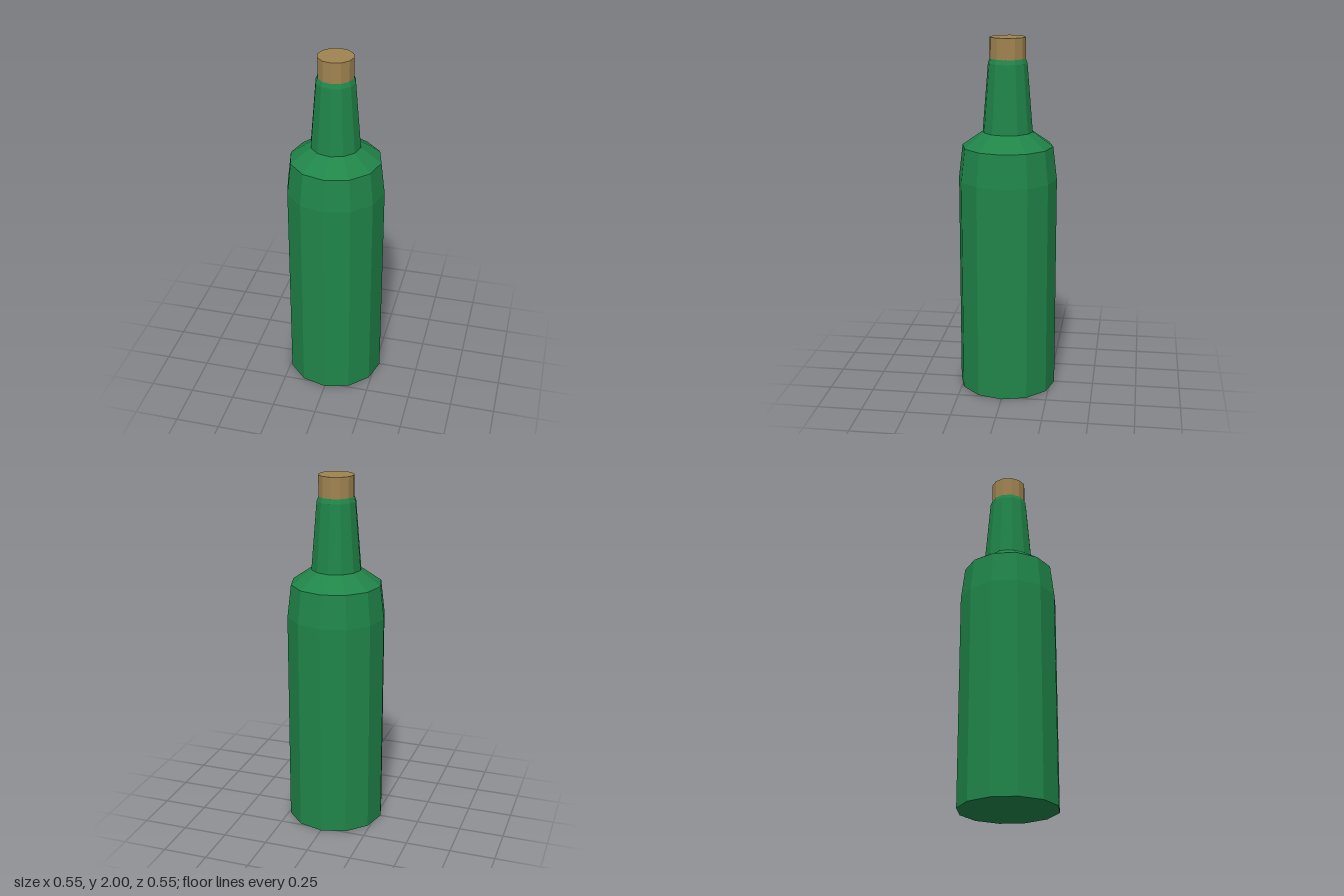
import * as THREE from 'three';

const SIDES = 12;

export function createModel() {
  const model = new THREE.Group();
  model.name = 'bottle';

  const glass = new THREE.MeshStandardMaterial({ color: 0x208549, flatShading: true });
  const corkMaterial = new THREE.MeshStandardMaterial({ color: 0xa08450, flatShading: true });

  // Glass: base, straight body, tapered upper body, shoulder, neck and rim
  const profile = [
    [0, 0], [0.275, 0], [0.275, 1.22], [0.253, 1.405],
    [0.139, 1.485], [0.108, 1.86], [0.098, 1.885], [0, 1.885],
  ].map(([r, y]) => new THREE.Vector2(r, y));
  const bottle = new THREE.Mesh(new THREE.LatheGeometry(profile, SIDES), glass);
  bottle.name = 'glassBottle';
  model.add(bottle);

  // Cork standing out of the neck
  const cork = new THREE.Mesh(new THREE.CylinderGeometry(0.098, 0.098, 0.12, SIDES), corkMaterial);
  cork.name = 'cork';
  cork.position.y = 1.94;
  model.add(cork);

  return model;
}
